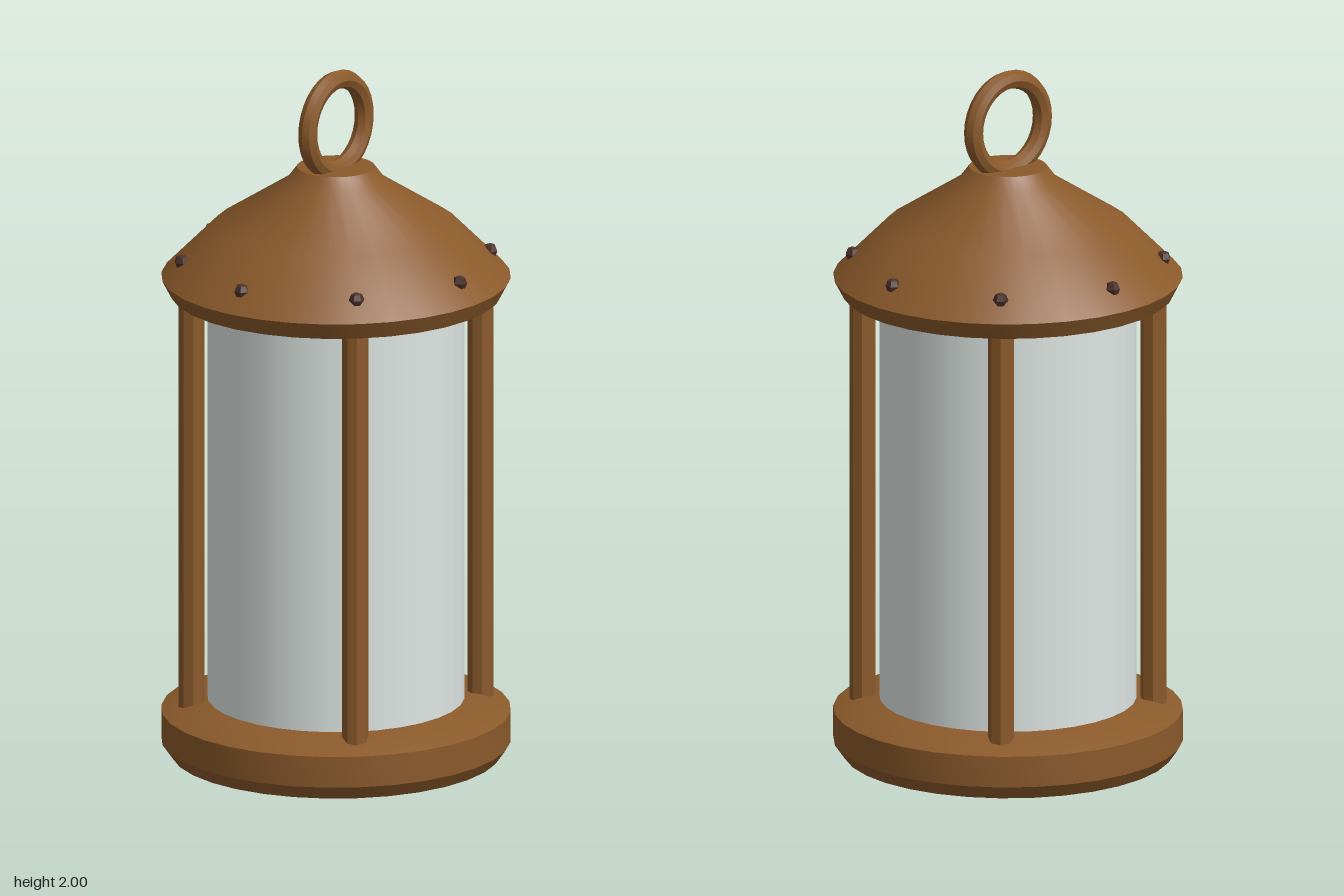
import * as THREE from 'three';
import { toCreasedNormals } from 'three/addons/utils/BufferGeometryUtils.js';

export function createModel() {
  const lantern = new THREE.Group();
  lantern.name = 'lantern';

  const material = (name, color, flatShading = false) => {
    const m = new THREE.MeshStandardMaterial({ color, flatShading });
    m.name = name;
    return m;
  };
  const bronze = material('bronze', 0x8b5a2b);
  const glass = material('frosted glass', 0xdde5e2);
  const rivetBrown = material('dark rivet brown', 0x4a3028);

  const add = (name, geometry, mat, x = 0, y = 0, z = 0) => {
    const mesh = new THREE.Mesh(geometry, mat);
    mesh.name = name;
    mesh.position.set(x, y, z);
    lantern.add(mesh);
    return mesh;
  };

  // Turned profiles, [radius, height] from bottom to top
  const turned = (profile) => toCreasedNormals(
    new THREE.LatheGeometry(profile.map(([r, y]) => new THREE.Vector2(r, y)), 32), 0.55);

  add('base', turned([
    [0, 0], [0.465, 0], [0.493, 0.04], [0.493, 0.13], [0.41, 0.165], [0, 0.165],
  ]), bronze);

  add('roof', turned([
    [0, 1.35], [0.467, 1.35], [0.493, 1.4], [0.344, 1.55], [0.14, 1.68], [0.11, 1.72], [0, 1.72],
  ]), bronze);

  // Glass chimney between base and roof
  add('glassCylinder', new THREE.CylinderGeometry(0.363, 0.363, 1.21, 32, 1, true), glass, 0, 0.76, 0);

  // Four corner posts on the diagonals
  const postGeometry = toCreasedNormals(new THREE.CylinderGeometry(0.037, 0.037, 1.23, 8), 0.5);
  for (let i = 0; i < 4; i++) {
    const a = Math.PI / 4 + i * Math.PI / 2;
    add('post', postGeometry, bronze, 0.41 * Math.sin(a), 0.755, 0.41 * Math.cos(a));
  }

  // Eight rivets around the roof rim
  const rivetGeometry = toCreasedNormals(new THREE.SphereGeometry(0.022, 6, 4), 0.4);
  for (let i = 0; i < 8; i++) {
    const a = i * Math.PI / 4;
    add('rivet', rivetGeometry, rivetBrown, 0.438 * Math.sin(a), 1.456, 0.438 * Math.cos(a)).rotation.y = a;
  }

  // Hanging ring sunk into the roof cap
  add('hangingRing', toCreasedNormals(new THREE.TorusGeometry(0.131, 0.027, 8, 32), 0.5),
    bronze, 0, 1.842, 0);

  return lantern;
}
